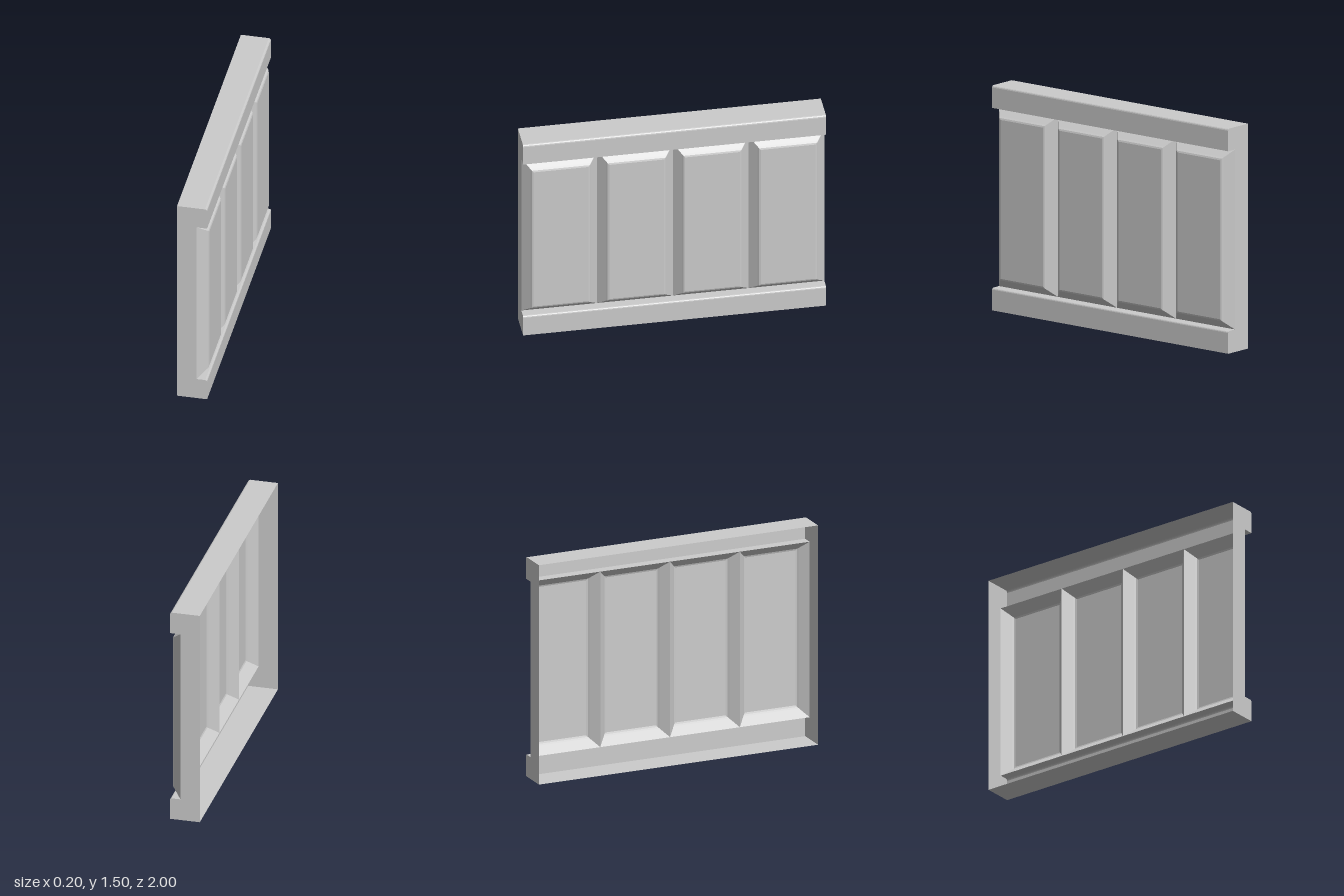
import * as THREE from 'three';

const BACK = -0.1, FACE = 0.1, GROOVE = 0.03;   // x depths
const HEIGHT = 1.5, RAIL = 0.15, HALF = 1;      // HALF = half length along z
const PANELS = 4;

const material = new THREE.MeshStandardMaterial({
  color: 0xcccccc, flatShading: true, side: THREE.DoubleSide,
});

// Geometry from a list of quads, each with four corners counter-clockwise
function quadGeometry(quads) {
  const points = quads.flatMap(([a, b, c, d]) => [a, b, c, a, c, d]);
  const geometry = new THREE.BufferGeometry();
  geometry.setAttribute('position', new THREE.Float32BufferAttribute(points.flat(), 3));
  geometry.computeVertexNormals();
  return geometry;
}

function addMesh(group, name, geometry) {
  const mesh = new THREE.Mesh(geometry, material);
  mesh.name = name;
  group.add(mesh);
  return mesh;
}

// Rounded upper front edge of a rail whose top is at y
function roundedEdge(y, r) {
  return [0, 1, 2, 3].map((i) => {
    const a = (i / 3) * Math.PI / 2;
    return [FACE - r + r * Math.cos(a), y - r + r * Math.sin(a)];
  });
}

// Sweep an x/y path along the whole length
function sweep(path) {
  return quadGeometry(path.slice(1).map((q, i) => {
    const p = path[i];
    return [[...p, HALF], [...p, -HALF], [...q, -HALF], [...q, HALF]];
  }));
}

// Raised panel: nested rectangles stepping out to the flat face
function panelGeometry(z0, z1) {
  const steps = [[0, GROOVE], [0.05, 0.085], [0.059, 0.096], [0.07, FACE]];
  const rings = steps.map(([inset, x]) => {
    const bottom = RAIL + inset, top = HEIGHT - RAIL - inset;
    return [
      [x, bottom, z1 - inset], [x, bottom, z0 + inset],
      [x, top, z0 + inset], [x, top, z1 - inset],
    ];
  });
  const quads = [rings[rings.length - 1]];
  for (let r = 0; r < rings.length - 1; r++) {
    for (let i = 0; i < 4; i++) {
      const j = (i + 1) % 4;
      quads.push([rings[r][i], rings[r][j], rings[r + 1][j], rings[r + 1][i]]);
    }
  }
  return quadGeometry(quads);
}

export function createModel() {
  const group = new THREE.Group();
  group.name = 'panelledWall';

  // Rails, open at the back
  const lower = [[BACK, 0], [FACE, 0], ...roundedEdge(RAIL, 0.012), [GROOVE, RAIL]];
  const upper = [[GROOVE, HEIGHT - RAIL], [FACE, HEIGHT - RAIL],
    ...roundedEdge(HEIGHT, 0.014), [BACK, HEIGHT]];
  addMesh(group, 'bottomRail', sweep(lower));
  addMesh(group, 'topRail', sweep(upper));

  // C-shaped end faces
  const outline = new THREE.Shape([...lower, ...upper].map(([x, y]) => new THREE.Vector2(x, y)));
  for (const side of [1, -1]) {
    const cap = addMesh(group, side > 0 ? 'frontEnd' : 'backEnd', new THREE.ShapeGeometry(outline));
    cap.position.z = side * HALF;
    cap.scale.z = side;
  }

  // Row of bevelled panels meeting in V grooves
  const width = 2 * HALF / PANELS;
  for (let i = 0; i < PANELS; i++) {
    const z0 = -HALF + i * width;
    addMesh(group, `panel${i + 1}`, panelGeometry(z0, z0 + width));
  }
  return group;
}
